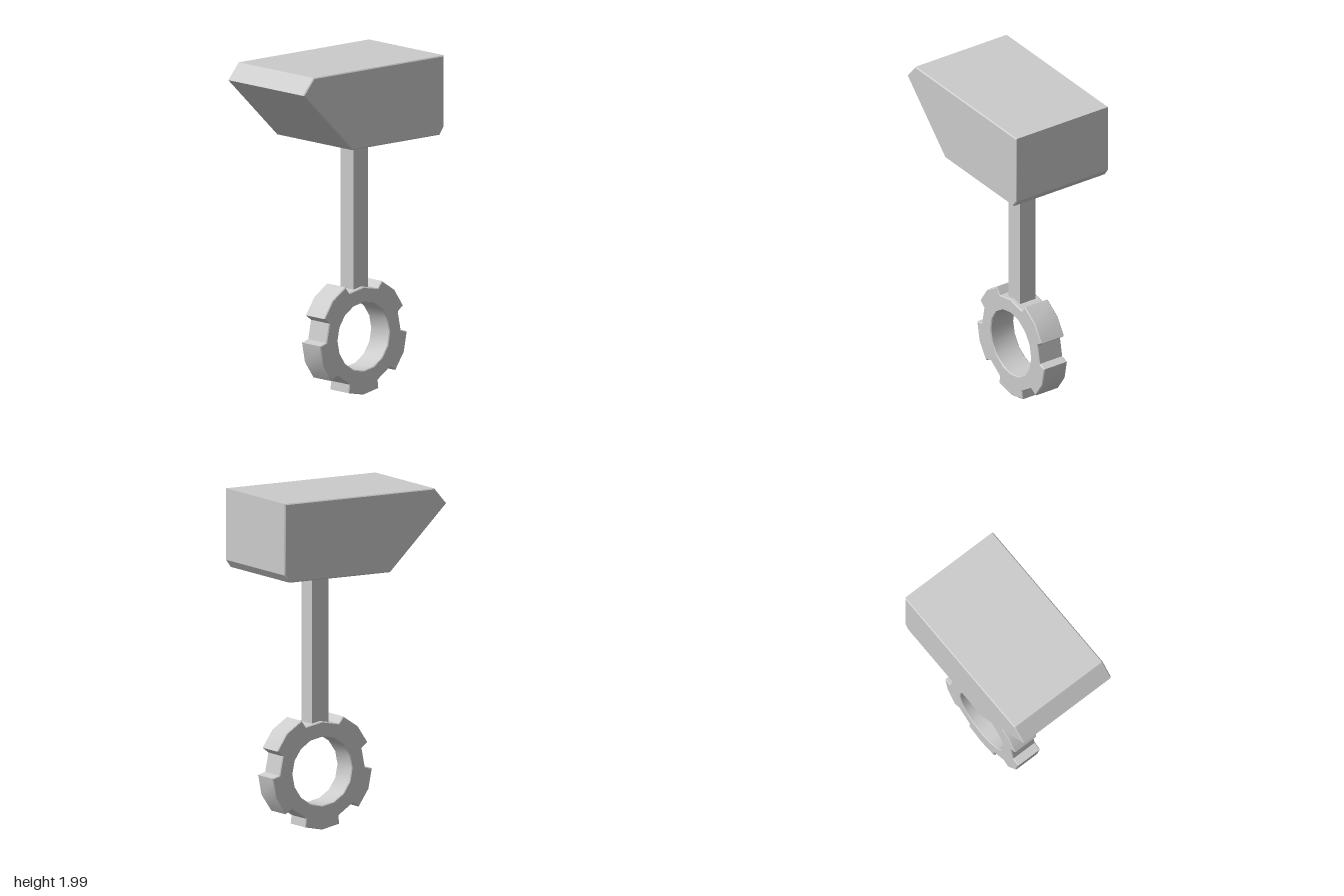
import * as THREE from 'three';
import { toCreasedNormals } from 'three/addons/utils/BufferGeometryUtils.js';

const material = new THREE.MeshStandardMaterial({ color: 0xcccccc });

// Extrude a (z, y) profile across x, centred, with a fine chamfer on the edges
function sideExtrude(name, shape, width, bevel) {
  const depth = width - 2 * bevel;
  let geo = new THREE.ExtrudeGeometry(shape, {
    depth, bevelEnabled: true, bevelSegments: 1,
    bevelThickness: bevel, bevelSize: bevel, bevelOffset: -bevel,
  });
  geo.translate(0, 0, -depth / 2);
  geo.rotateY(-Math.PI / 2);
  geo = toCreasedNormals(geo, Math.PI / 6);
  const mesh = new THREE.Mesh(geo, material);
  mesh.name = name;
  return mesh;
}

export function createModel() {
  const group = new THREE.Group();
  group.name = 'hammer';
  const axisZ = -0.143;

  // Head: block with a slanted nose and a chamfered lower back edge
  const headProfile = [
    [0.473, 2], [0.555, 1.905], [0.17, 1.533],
    [-0.519, 1.533], [-0.552, 1.578], [-0.552, 2],
  ].map(([z, y]) => new THREE.Vector2(z, y));
  group.add(sideExtrude('head', new THREE.Shape(headProfile), 0.656, 0.006));

  // Square handle, sunk into the head and the ring
  const handle = new THREE.Mesh(new THREE.BoxGeometry(0.113, 0.96, 0.113), material);
  handle.name = 'handle';
  handle.position.set(0, 1.08, axisZ);
  group.add(handle);

  // Notched ring: five teeth on a 16-step circle, angles measured from the bottom
  const ringY = 0.352;
  const polar = (r, deg) => {
    const a = THREE.MathUtils.degToRad(deg);
    return new THREE.Vector2(axisZ + r * Math.sin(a), ringY - r * Math.cos(a));
  };
  const outline = [];
  for (const mid of [0, 67.5, 135, 225, 292.5]) {
    outline.push(
      polar(0.293, mid - 22.5), polar(0.342, mid - 20.2),
      polar(0.345, mid),
      polar(0.342, mid + 20.2), polar(0.293, mid + 22.5),
    );
    if (mid === 135) outline.push(polar(0.293, 180)); // wide gap under the handle
  }
  const ringShape = new THREE.Shape(outline);
  const hole = Array.from({ length: 16 }, (_, i) => polar(0.203, -i * 22.5));
  ringShape.holes.push(new THREE.Path(hole));
  group.add(sideExtrude('notchedRing', ringShape, 0.164, 0.005));

  return group;
}
